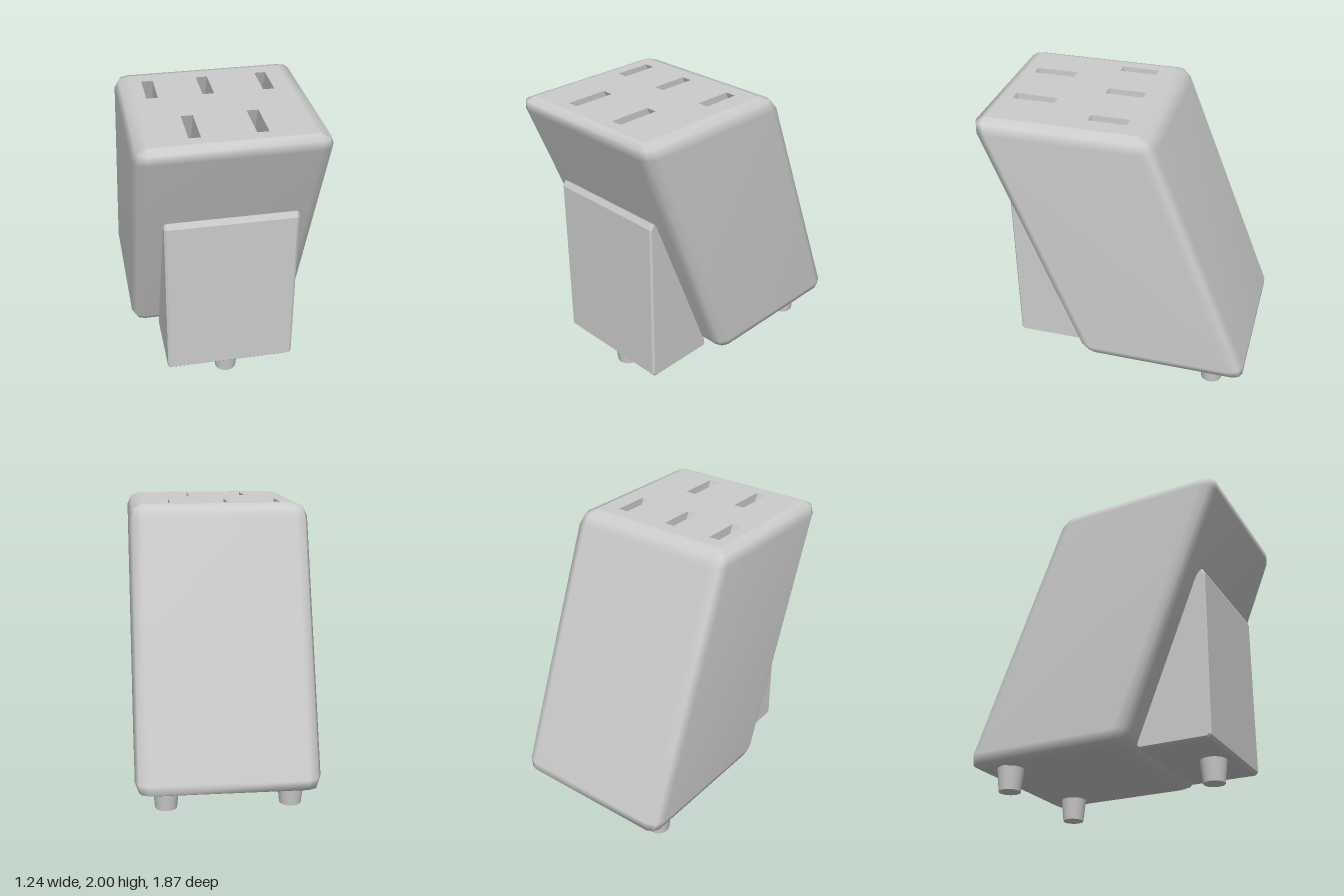
import * as THREE from 'three';
import { mergeVertices } from 'three/addons/utils/BufferGeometryUtils.js';

const SHEAR = 0.395, MID_Y = 1.08; // the block leans forward as it rises
const BOTTOM = 0.16, TOP = 2, R = 0.09;
const HALF_X = 0.62, HALF_Z = 0.605;

const material = new THREE.MeshStandardMaterial({ color: 0xcccccc });
const flatMaterial = new THREE.MeshStandardMaterial({ color: 0xcccccc, flatShading: true });

const lean = (y) => SHEAR * (y - MID_Y);

function addMesh(parent, name, geometry, mat = material) {
  const mesh = new THREE.Mesh(geometry, mat);
  mesh.name = name;
  parent.add(mesh);
  return mesh;
}

// Skin between rings of points that run counter-clockwise seen from above
function loft(rings) {
  const n = rings[0].length, index = [];
  for (let j = 0; j < rings.length - 1; j++) {
    for (let i = 0; i < n; i++) {
      const a = j * n + i, b = j * n + (i + 1) % n;
      index.push(a, b, b + n, a, b + n, a + n);
    }
  }
  const geometry = new THREE.BufferGeometry().setFromPoints(rings.flat());
  geometry.setIndex(index);
  return geometry;
}

// Horizontal section of the block with two-step rounded corners
function blockRing(y, inset) {
  const r = Math.max(R - inset, 0.01), points = [];
  const cx = HALF_X - inset - r, cz = HALF_Z - inset - r;
  [[1, 1], [-1, 1], [-1, -1], [1, -1]].forEach(([sx, sz], corner) => {
    for (let k = 0; k <= 2; k++) {
      const t = (corner + k / 2) * Math.PI / 2;
      points.push(new THREE.Vector3(
        sx * cx + r * Math.cos(t), y, lean(y) - sz * cz - r * Math.sin(t)));
    }
  });
  return points;
}

// Rectangular section of a slot, leaning with the block
function slotRing([x, z0, z1], y, scale = 1) {
  const zc = (z0 + z1) / 2 + lean(y) - lean(TOP);
  const w = 0.038 * scale, d = (z1 - z0) / 2 * scale;
  return [[1, -1], [-1, -1], [-1, 1], [1, 1]].map(
    ([sx, sz]) => new THREE.Vector3(x + sx * w, y, zc + sz * d));
}

export function createModel() {
  const model = new THREE.Group();
  model.name = 'knifeBlock';

  // Leaning body with rounded edges and a closed underside
  const a = R * (1 - Math.SQRT1_2);
  const bottomCentre = blockRing(BOTTOM, 0).map(() => new THREE.Vector3(0, BOTTOM, lean(BOTTOM)));
  const body = mergeVertices(loft([
    bottomCentre,
    blockRing(BOTTOM, R),
    blockRing(BOTTOM + a, a),
    blockRing(BOTTOM + R, 0),
    blockRing(TOP - R, 0),
    blockRing(TOP - a, a),
    blockRing(TOP, R),
    blockRing(TOP, R + 0.01),
  ]));
  body.computeVertexNormals();
  addMesh(model, 'blockBody', body);

  // Top face pierced by the slots
  const slots = [
    [-0.41, -0.05, 0.215], [-0.04, -0.05, 0.215], [0.365, -0.05, 0.215],
    [-0.23, 0.5, 0.795], [0.19, 0.5, 0.795],
  ];
  const flatten = (ring) => ring.map((p) => new THREE.Vector2(p.x, -p.z));
  const face = new THREE.Shape(flatten(blockRing(TOP, R + 0.01)));
  face.holes = slots.map((s) => new THREE.Path(flatten(slotRing(s, TOP))));
  const top = new THREE.ShapeGeometry(face).rotateX(-Math.PI / 2).translate(0, TOP, 0);
  addMesh(model, 'topFace', top);

  // Deep slots running parallel to the lean
  const floorY = TOP - 1;
  slots.forEach((s) => {
    const geometry = loft([slotRing(s, TOP), slotRing(s, floorY), slotRing(s, floorY, 0)]).toNonIndexed();
    geometry.computeVertexNormals();
    addMesh(model, 'knifeSlot', geometry, flatMaterial);
  });

  // Upright wedge resting against the leaning front
  const profile = new THREE.Shape([
    [0.78, 0.18], [0.76, 0.16], [0.28, 0.16], [0.26, 0.18], [0.265, 0.21],
    [0.71, 1.33], [0.735, 1.365], [0.76, 1.38], [0.78, 1.34],
  ].map(([z, y]) => new THREE.Vector2(z, y)));
  const bevel = 0.015;
  const wedge = new THREE.ExtrudeGeometry(profile, {
    depth: 0.89 - 2 * bevel, bevelEnabled: true, bevelThickness: bevel,
    bevelSize: 0.012, bevelOffset: -0.012, bevelSegments: 1,
  });
  wedge.rotateY(-Math.PI / 2).translate(0.46 - bevel, 0, 0);
  addMesh(model, 'frontWedge', wedge);

  // Three tapered feet: one under the wedge, two under the back
  [[0.01, 0.62], [-0.445, -0.69], [0.41, -0.69]].forEach(([x, z]) => {
    const foot = addMesh(model, 'foot', new THREE.CylinderGeometry(0.095, 0.075, 0.18, 24));
    foot.position.set(x, 0.09, z);
  });

  return model;
}
